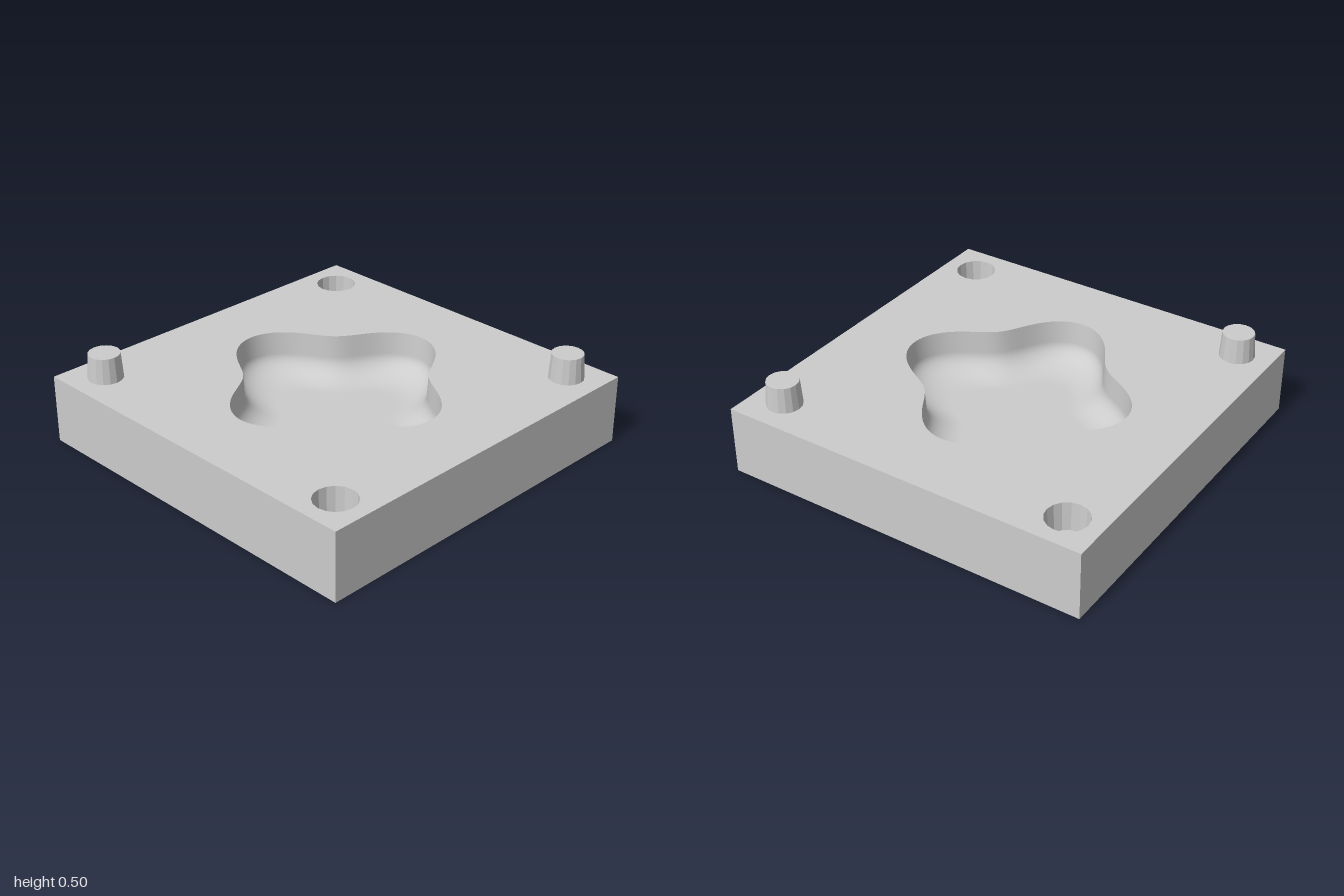
import * as THREE from 'three';

const TOP = 0.365, HALF = 1, PIN = 0.815;

// Flower-like outline of the cavity, and a plain circle
const lobed = (t) => 0.55 + 0.085 * Math.cos(4 * t);
const round = (r) => () => r;

// Points of an outline, counter-clockwise seen from above
function outline(radius, sides, cx = 0, cz = 0) {
  return Array.from({ length: sides }, (_, j) => {
    const t = (j / sides) * Math.PI * 2;
    return new THREE.Vector2(cx + radius(t) * Math.cos(t), -cz + radius(t) * Math.sin(t));
  });
}

// Recess made of rings: profile lists [scale of the outline, depth], ending at the centre
function recess(radius, sides, profile) {
  const pos = [], index = [];
  const rim = outline(radius, sides);
  profile.forEach(([s, d], i) => rim.forEach((p, j) => {
    pos.push(p.x * s, -d, -p.y * s);
    if (i === profile.length - 1) return;
    const a = i * sides + j, b = i * sides + (j + 1) % sides;
    index.push(a, b, a + sides);
    if (profile[i + 1][0] > 0) index.push(b, b + sides, a + sides);
  }));
  const geo = new THREE.BufferGeometry();
  geo.setAttribute('position', new THREE.Float32BufferAttribute(pos, 3));
  geo.setIndex(index);
  geo.computeVertexNormals();
  return geo;
}

function faceted(geo) {
  const flat = geo.toNonIndexed();
  flat.computeVertexNormals();
  return flat;
}

export function createModel() {
  const group = new THREE.Group();
  const grey = new THREE.MeshStandardMaterial({ color: 0xcccccc });
  grey.name = 'grey';

  const add = (name, geo, x = 0, y = 0, z = 0) => {
    const mesh = new THREE.Mesh(geo, grey);
    mesh.name = name;
    mesh.position.set(x, y, z);
    group.add(mesh);
  };

  // Block sides and underside: a box without its top face
  const box = new THREE.BoxGeometry(2 * HALF, TOP, 2 * HALF);
  box.setIndex(Array.from(box.index.array).filter((_, i) => i < 12 || i >= 18));
  box.clearGroups();
  add('block', box, 0, TOP / 2, 0);

  // Top face, open over the cavity and the two sockets
  const sockets = [[-PIN, -PIN], [PIN, PIN]];
  const face = new THREE.Shape([[-1, -1], [1, -1], [1, 1], [-1, 1]]
    .map(([x, y]) => new THREE.Vector2(x * HALF, y * HALF)));
  face.holes.push(new THREE.Path(outline(lobed, 128)));
  sockets.forEach(([x, z]) => face.holes.push(new THREE.Path(outline(round(0.108), 16, x, z))));
  add('topFace', new THREE.ShapeGeometry(face).rotateX(-Math.PI / 2), 0, TOP, 0);

  // Cavity: steep wall, then a rounded sweep into a flat floor
  const profile = [[1, 0], [0.985, 0.12]];
  for (let i = 1; i <= 12; i++) {
    const t = (i / 12) * Math.PI / 2;
    profile.push([0.6 + 0.385 * Math.cos(t), 0.12 + 0.12 * Math.sin(t)]);
  }
  profile.push([0.3, 0.24], [0, 0.24]);
  add('cavity', recess(lobed, 128, profile), 0, TOP, 0);

  // Tapered sockets in two opposite corners
  const socket = faceted(recess(round(0.108), 16, [[1, 0], [0.93, 0.15], [0, 0.15]]));
  sockets.forEach(([x, z], i) => add('socket' + (i + 1), socket, x, TOP, z));

  // Tapered locating pins in the other two corners
  const pin = faceted(new THREE.CylinderGeometry(0.083, 0.092, 0.135, 16));
  [[-PIN, PIN], [PIN, -PIN]].forEach(([x, z], i) =>
    add('pin' + (i + 1), pin, x, TOP + 0.0675, z));

  return group;
}
